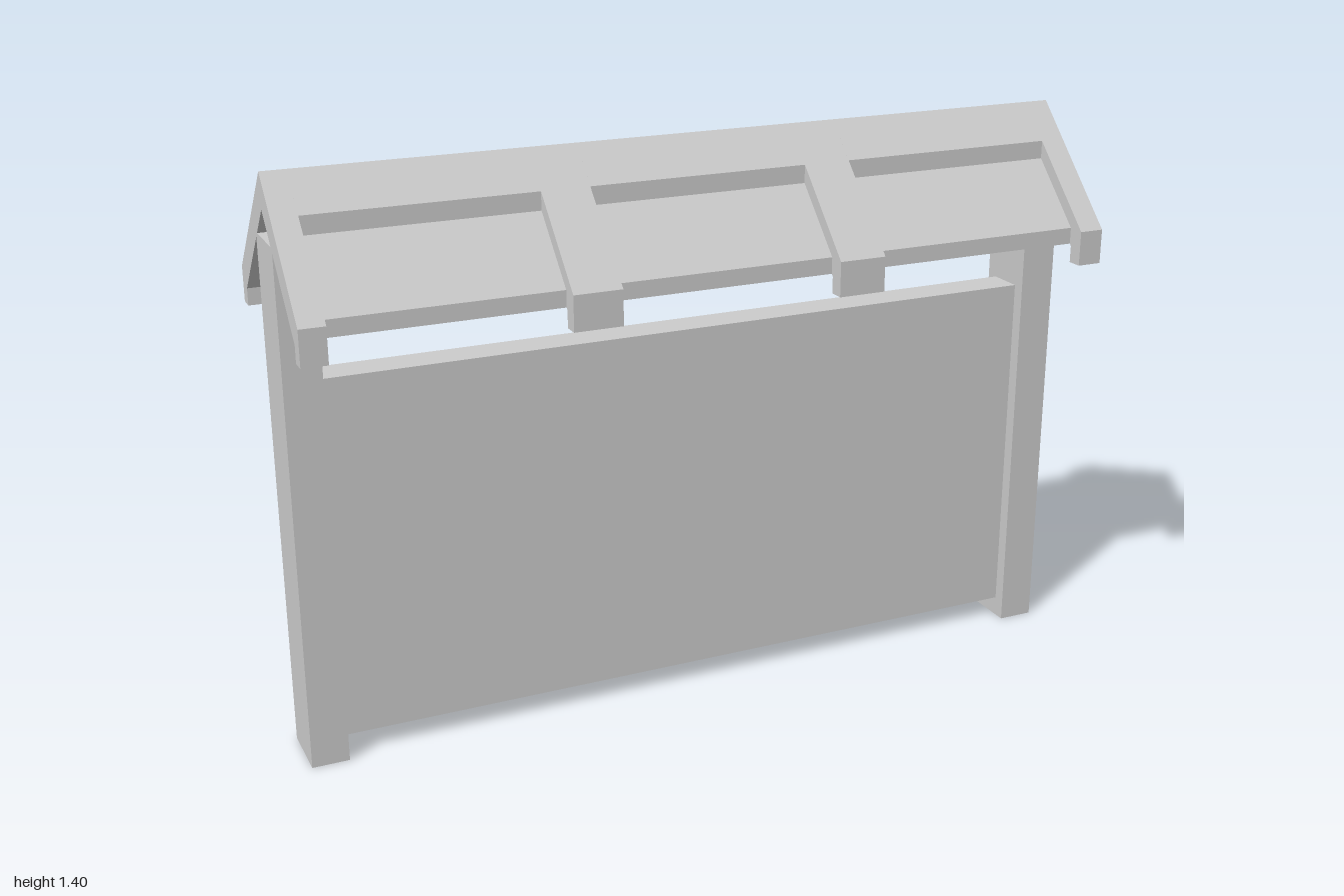
import * as THREE from 'three';

const material = new THREE.MeshStandardMaterial({ color: 0xcccccc, flatShading: true });

function box(name, x0, x1, y0, y1, depth) {
  const mesh = new THREE.Mesh(new THREE.BoxGeometry(x1 - x0, y1 - y0, depth), material);
  mesh.name = name;
  mesh.position.set((x0 + x1) / 2, (y0 + y1) / 2, 0);
  return mesh;
}

// Gable section: half profile [z, y] mirrored about z = 0, extruded along x
function gable(name, half, x0, x1) {
  const mirrored = half.filter(([z]) => z > 0).reverse().map(([z, y]) => [-z, y]);
  const shape = new THREE.Shape([...half, ...mirrored].map(([z, y]) => new THREE.Vector2(z, y)));
  return extrudeX(name, shape, x0, x1);
}

function extrudeX(name, shape, x0, x1) {
  const geometry = new THREE.ExtrudeGeometry(shape, { depth: x1 - x0, bevelEnabled: false });
  geometry.rotateY(-Math.PI / 2);
  geometry.translate(x1, 0, 0);
  const mesh = new THREE.Mesh(geometry, material);
  mesh.name = name;
  return mesh;
}

// Full outline: outer half reversed on one side, then the inner half back
function outline(outer, inner) {
  const flip = (pts) => pts.slice(1).map(([z, y]) => [-z, y]);
  return [
    ...flip(outer).reverse(), ...outer,
    ...inner.slice(1).reverse(), inner[0], ...flip(inner),
  ];
}

export function createModel() {
  const model = new THREE.Group();
  model.name = 'noticeBoard';

  // Posts, board and top beam
  model.add(box('rightPost', -1, -0.91, 0, 1.255, 0.154));
  model.add(box('leftPost', 0.91, 1, 0, 1.255, 0.154));
  model.add(box('board', -0.91, 0.91, 0.05, 0.94, 0.09));
  model.add(box('topBeam', -0.91, 0.91, 1.17, 1.255, 0.09));

  // Roof sections, outer and inner half profiles [z, y]
  const toShape = (pts) => new THREE.Shape(pts.map(([z, y]) => new THREE.Vector2(z, y)));
  const ribShape = toShape(outline(
    [[0, 1.405], [0.271, 1.13], [0.271, 1.045]],
    [[0, 1.322], [0.233, 1.086], [0.233, 1.045]],
  ));
  const bayShape = toShape(outline(
    [[0, 1.405], [0.083, 1.321], [0.083, 1.277], [0.228, 1.131]],
    [[0, 1.322], [0.228, 1.091]],
  ));

  // Ribs with recessed bays between them
  const roof = new THREE.Group();
  roof.name = 'roof';
  const ribs = [[-1, -0.94], [-0.395, -0.277], [0.268, 0.386], [0.938, 1]];
  ribs.forEach(([x0, x1], i) => {
    roof.add(extrudeX('roofRib', ribShape, x0, x1));
    if (i < ribs.length - 1) roof.add(extrudeX('roofBay', bayShape, x1, ribs[i + 1][0]));
  });
  model.add(roof);
  return model;
}
